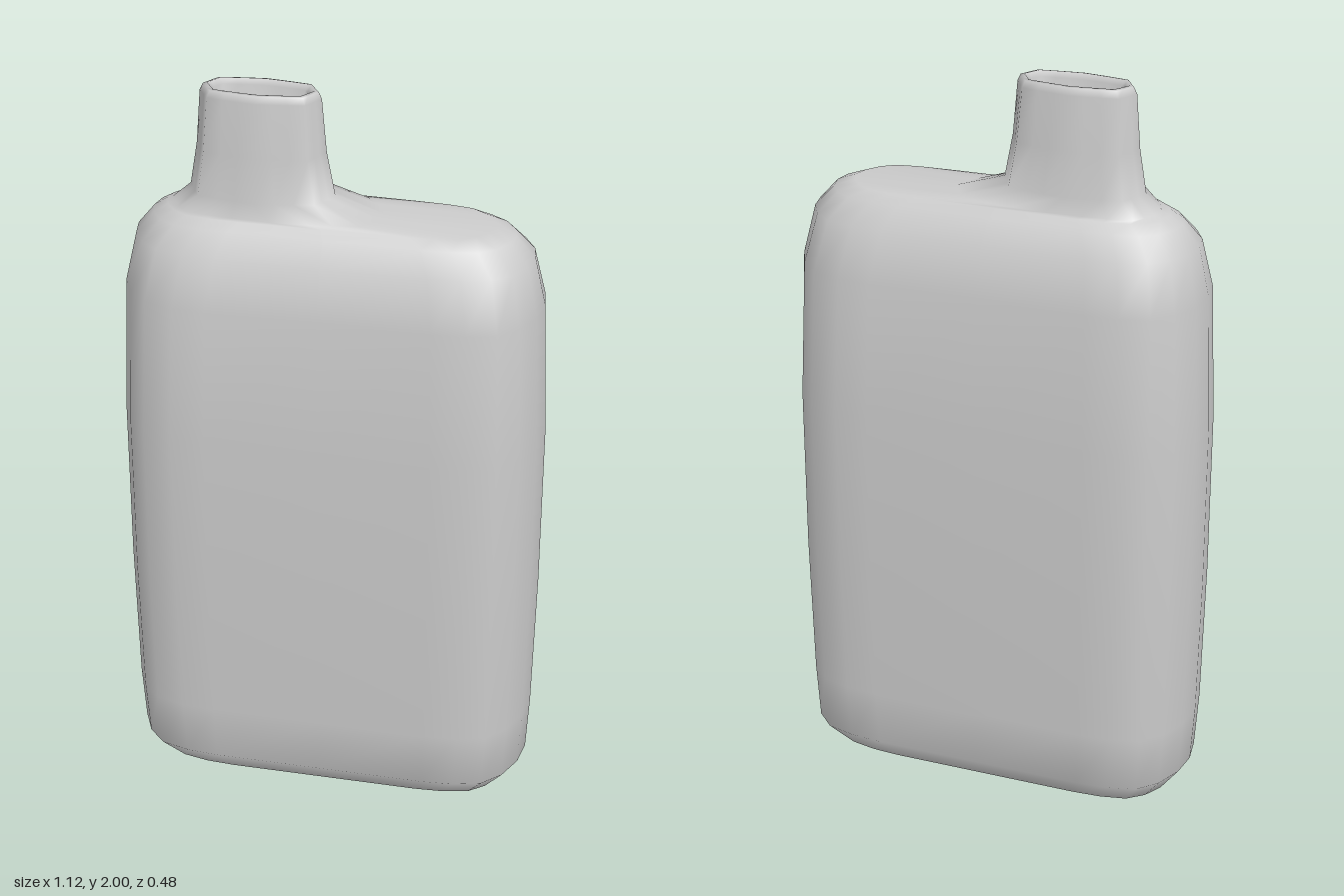
import * as THREE from 'three';

// One quarter of each unit outline, from +x round to +z
const BODY = [[1, 0], [0.98, 0.34], [0.92, 0.66], [0.83, 0.88], [0.69, 0.97], [0.53, 1], [0, 1]];
const NECK = [[1, 0], [0.93, 0.25], [0.87, 0.5], [0.8, 0.75], [0.53, 0.85], [0.27, 0.93], [0, 1]];

// Mirror a quarter outline into a closed loop of 24 points
function closeLoop(q) {
  const half = [...q, ...q.slice(0, -1).reverse().map(([x, z]) => [-x, z])];
  return [...half, ...half.slice(1, -1).reverse().map(([x, z]) => [x, -z])];
}

// Skin rings of [y, xMin, xMax, halfDepth, blend]; blend 0 = body outline, 1 = neck outline
function loft(rings) {
  const a = closeLoop(BODY), b = closeLoop(NECK), n = a.length;
  const pos = [], index = [];
  rings.forEach(([y, x0, x1, hz, t], i) => {
    for (let j = 0; j < n; j++) {
      const ux = a[j][0] + (b[j][0] - a[j][0]) * t;
      const uz = a[j][1] + (b[j][1] - a[j][1]) * t;
      pos.push((x0 + x1) / 2 + ux * (x1 - x0) / 2, y, uz * hz);
      if (i === rings.length - 1) continue;
      const k = (j + 1) % n, lo = i * n, hi = lo + n;
      index.push(lo + j, hi + j, lo + k, lo + k, hi + j, hi + k);
    }
  });
  const g = new THREE.BufferGeometry();
  g.setAttribute('position', new THREE.Float32BufferAttribute(pos, 3));
  g.setIndex(index);
  g.computeVertexNormals();
  return g;
}

export function createModel() {
  const group = new THREE.Group();
  group.name = 'flatBottle';
  const rings = [
    // flat base and rounded lower edge
    [0, -0.36, 0.36, 0, 0],
    [0, -0.46, 0.46, 0.135, 0],
    [0.012, -0.49, 0.49, 0.16, 0],
    [0.09, -0.545, 0.545, 0.225, 0],
    // slightly bulging sides
    [0.25, -0.555, 0.553, 0.234, 0],
    [0.65, -0.562, 0.56, 0.242, 0],
    [1.1, -0.562, 0.56, 0.242, 0],
    [1.47, -0.548, 0.545, 0.222, 0],
    // rounded shoulders
    [1.6, -0.52, 0.515, 0.175, 0],
    [1.655, -0.475, 0.465, 0.132, 0],
    [1.677, -0.44, 0.41, 0.112, 0.1],
    // flare into the offset neck
    [1.683, -0.425, 0.13, 0.11, 0.7],
    [1.725, -0.377, 0, 0.1, 1],
    [1.84, -0.358, -0.022, 0.087, 1],
    [1.98, -0.347, -0.034, 0.07, 1],
    // rim
    [1.998, -0.338, -0.042, 0.063, 1],
    [2, -0.328, -0.052, 0.055, 1],
    [1.985, -0.322, -0.058, 0.048, 1],
    // hollow mouth narrowing to a slit
    [1.9, -0.312, -0.068, 0.03, 1],
    [1.84, -0.3, -0.08, 0, 1],
  ];
  const bottle = new THREE.Mesh(loft(rings), new THREE.MeshStandardMaterial({ color: 0xcccccc }));
  bottle.name = 'bodyAndNeck';
  group.add(bottle);
  return group;
}
